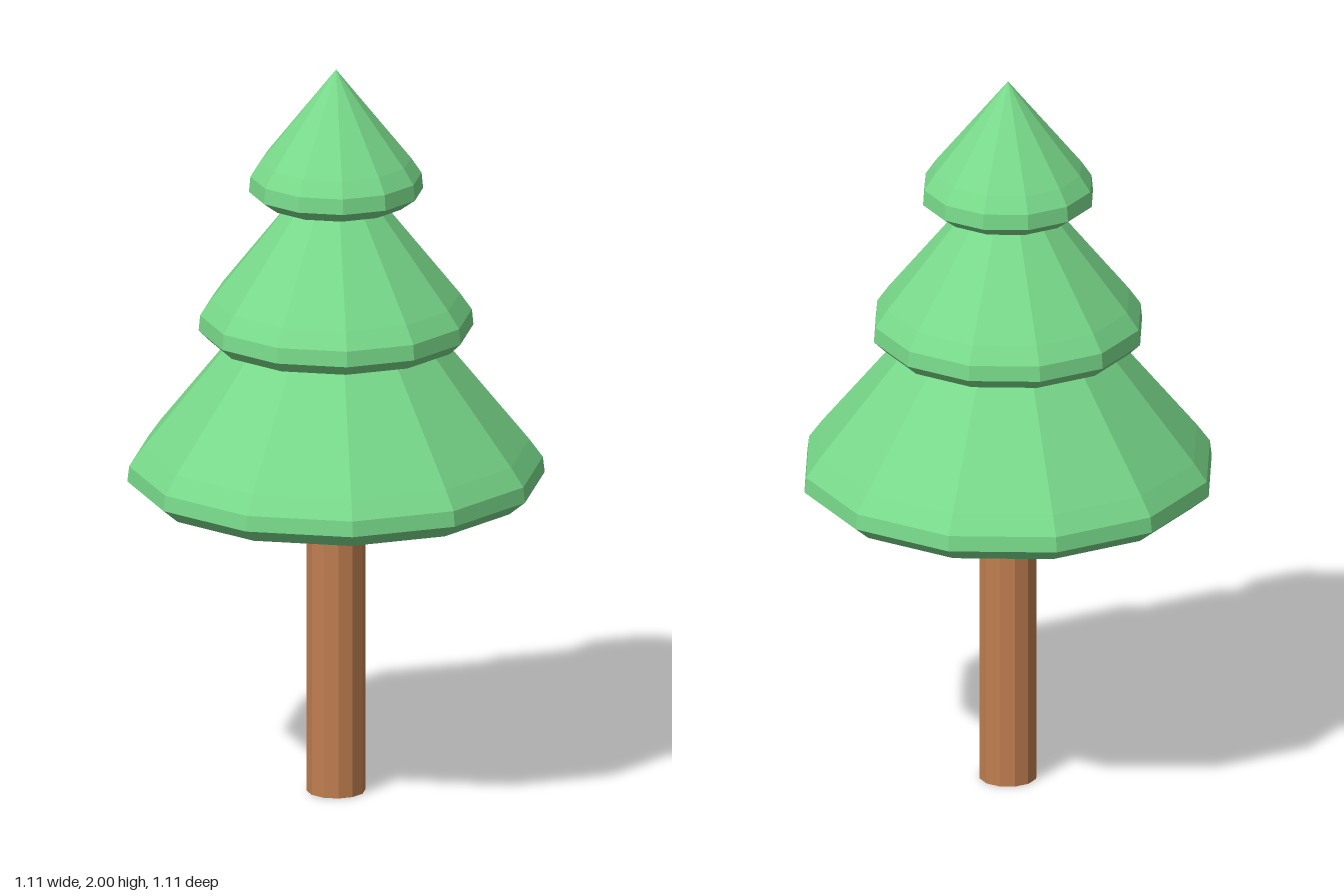
import * as THREE from 'three';

const SIDES = 12;

export function createModel() {
  const tree = new THREE.Group();
  tree.name = 'tree';
  const leaf = new THREE.MeshStandardMaterial({ color: 0x78d98a, flatShading: true });
  const bark = new THREE.MeshStandardMaterial({ color: 0xc07f50, flatShading: true });

  // Trunk, reaching a little way into the foliage
  const trunk = new THREE.Mesh(new THREE.CylinderGeometry(0.078, 0.078, 0.85, SIDES), bark);
  trunk.name = 'trunk';
  trunk.position.y = 0.425;
  tree.add(trunk);

  // Foliage tiers: closed cones with a bevelled rim, each [radius, height] from the bottom up
  const tiers = {
    lowerFoliage: [[0, 0.82], [0.44, 0.82], [0.51, 0.832], [0.556, 0.87], [0.551, 0.912], [0.515, 0.962], [0, 1.6]],
    middleFoliage: [[0, 1.245], [0.29, 1.245], [0.335, 1.254], [0.366, 1.284], [0.362, 1.326], [0.33, 1.372], [0, 1.785]],
    topFoliage: [[0, 1.625], [0.14, 1.625], [0.19, 1.635], [0.232, 1.666], [0.228, 1.708], [0.2, 1.75], [0, 2]],
  };
  for (const [name, profile] of Object.entries(tiers)) {
    const points = profile.map(([r, y]) => new THREE.Vector2(r, y));
    const tier = new THREE.Mesh(new THREE.LatheGeometry(points, SIDES), leaf);
    tier.name = name;
    tree.add(tier);
  }
  return tree;
}
